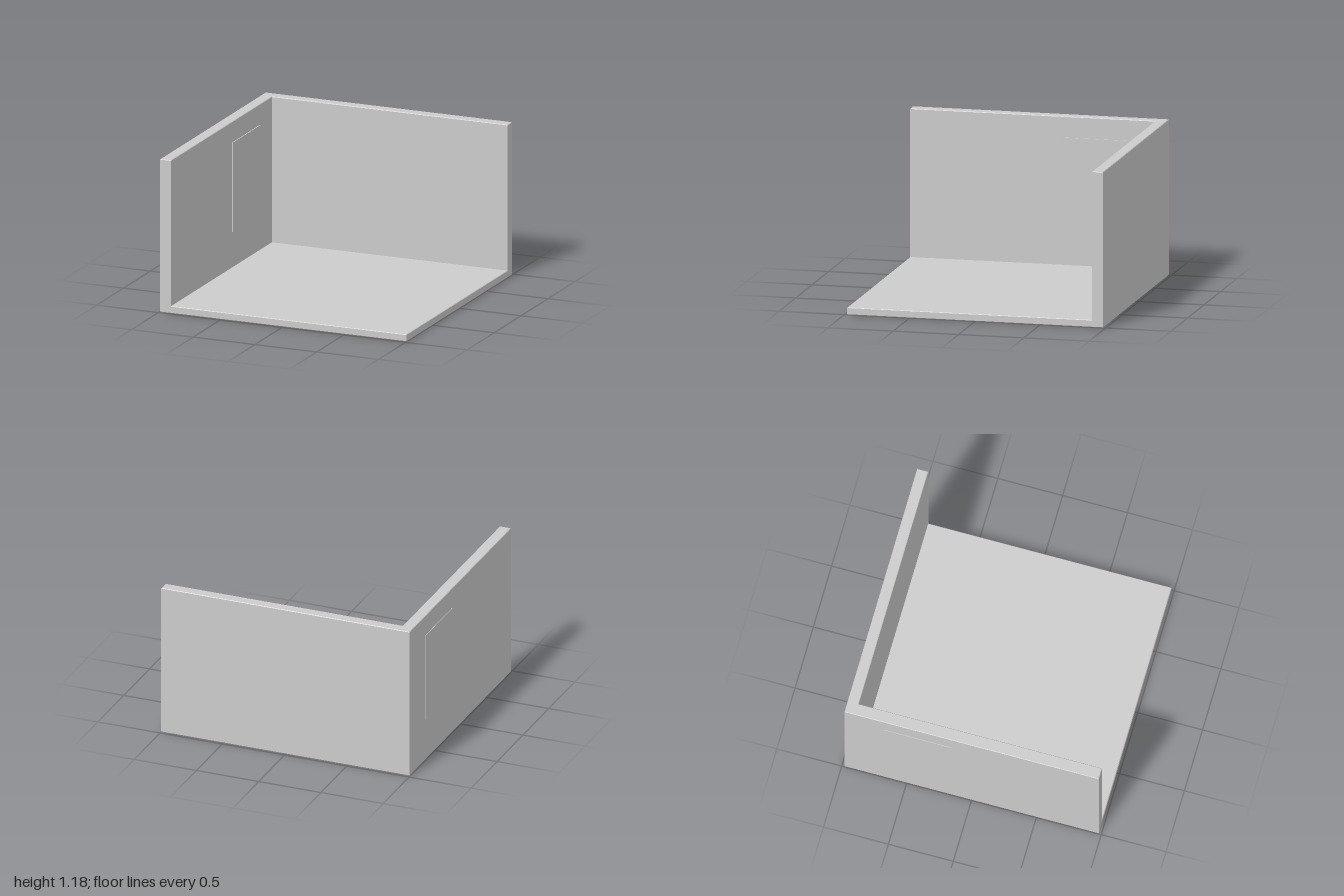
import * as THREE from 'three';

const BEVEL = 0.004;
const material = new THREE.MeshStandardMaterial({ color: 0xcccccc, flatShading: true });

// Solid standing on y0, from a plan outline of [x, z] points, with finely bevelled rims
function slab(name, plan, y0, y1) {
  const shape = new THREE.Shape(plan.map(([x, z]) => new THREE.Vector2(x, -z)));
  const geometry = new THREE.ExtrudeGeometry(shape, {
    depth: y1 - y0 - 2 * BEVEL,
    bevelThickness: BEVEL,
    bevelSize: BEVEL,
    bevelOffset: -BEVEL,
    bevelSegments: 1,
  });
  geometry.rotateX(-Math.PI / 2);
  geometry.translate(0, y0 + BEVEL, 0);
  const mesh = new THREE.Mesh(geometry, material);
  mesh.name = name;
  return mesh;
}

export function createModel() {
  const room = new THREE.Group();
  room.name = 'room';

  const outX = -0.996, inX = -0.907, right = 1;
  const back = -0.98, inZ = -0.895, front = 0.98;

  // Side and back walls as one L-shaped body
  room.add(slab('walls', [
    [outX, front], [inX, front], [inX, inZ], [right, inZ], [right, back], [outX, back],
  ], 0, 1.18));

  // Floor, tucked slightly into the walls
  const tuck = 0.01;
  room.add(slab('floor', [
    [inX - tuck, front], [right, front], [right, inZ - tuck], [inX - tuck, inZ - tuck],
  ], 0, 0.055));

  // Window panel standing slightly proud on both faces of the side wall
  const windowPanel = new THREE.Mesh(new THREE.BoxGeometry(0.1, 0.69, 0.52), material);
  windowPanel.name = 'windowPanel';
  windowPanel.position.set(-0.95, 0.675, -0.415);
  room.add(windowPanel);

  return room;
}
